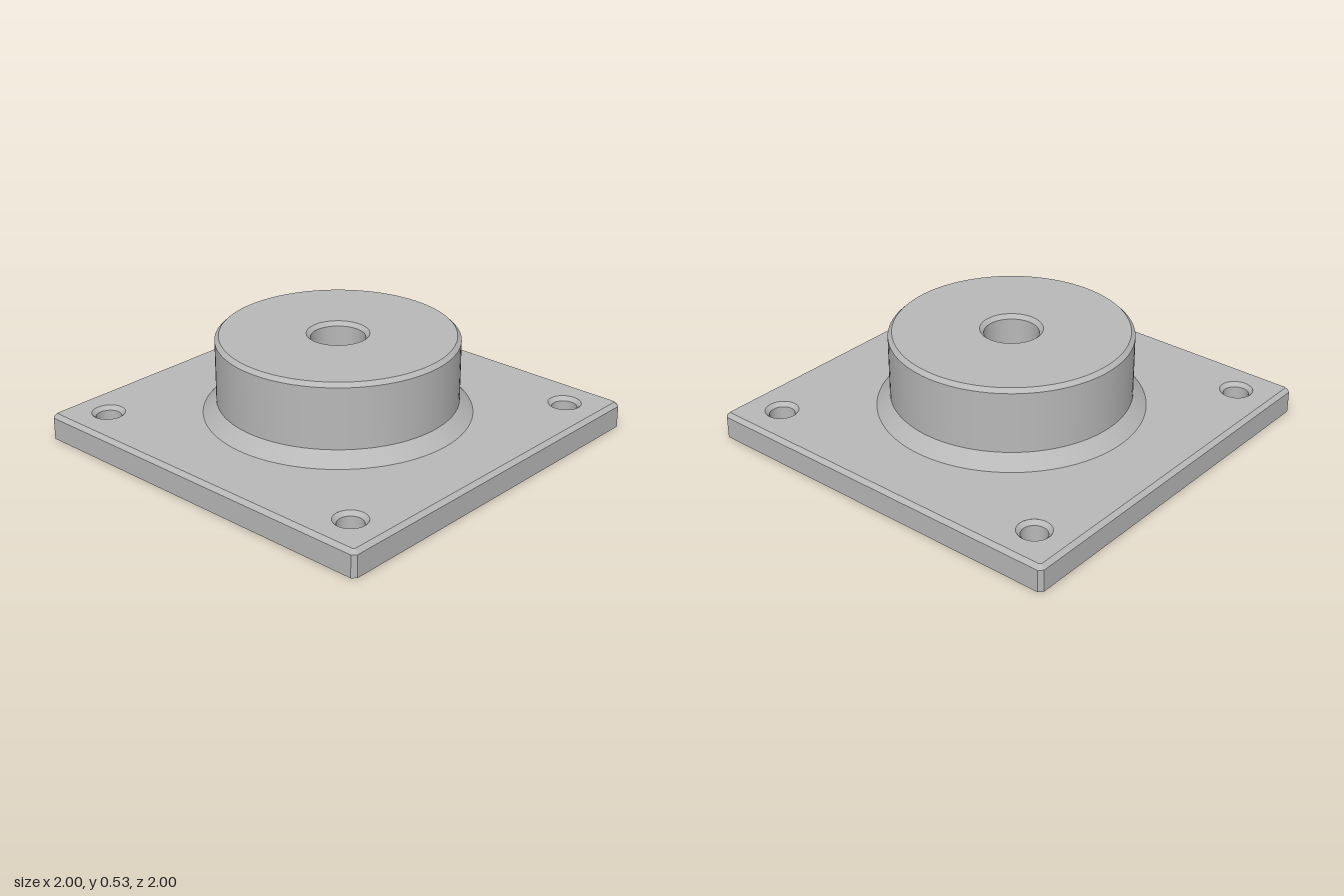
import * as THREE from 'three';
import { mergeGeometries } from 'three/addons/utils/BufferGeometryUtils.js';

const PLATE_TOP = 0.133, BEVEL = 0.02, HOLE_R = 0.063, HOLE_POS = 0.8, HUB_BASE_R = 0.667;

// Square outline with cut corners, counter-clockwise
function outline(half, cut) {
  const a = half, b = half - cut;
  return [[a, -b], [a, b], [b, a], [-b, a], [-a, b], [-a, -b], [-b, -a], [b, -a]]
    .map(([x, y]) => new THREE.Vector2(x, y));
}

const corners = [[1, 1], [-1, 1], [-1, -1], [1, -1]].map(([x, z]) => [x * HOLE_POS, z * HOLE_POS]);

// Flat face with round openings, each given as [x, y, radius]
function face(points, holes, y, up) {
  const shape = new THREE.Shape(points);
  for (const [hx, hy, r] of holes) {
    shape.holes.push(new THREE.Path().absarc(hx, hy, r, 0, Math.PI * 2, true));
  }
  return new THREE.ShapeGeometry(shape, 48).rotateX(up ? -Math.PI / 2 : Math.PI / 2).translate(0, y, 0);
}

// Flat-sided band joining two outlines at different heights
function band(low, y0, high, y1) {
  const pos = [];
  low.forEach((p, i) => {
    const j = (i + 1) % low.length;
    const a = [p.x, y0, -p.y], b = [low[j].x, y0, -low[j].y];
    const c = [high[j].x, y1, -high[j].y], d = [high[i].x, y1, -high[i].y];
    pos.push(...a, ...b, ...c, ...a, ...c, ...d);
  });
  const g = new THREE.BufferGeometry();
  g.setAttribute('position', new THREE.Float32BufferAttribute(pos, 3));
  g.computeVertexNormals();
  return g;
}

// Turned surface, smooth around and sharp between profile segments
function turned(profile, segments) {
  const parts = [];
  for (let i = 0; i < profile.length - 1; i++) {
    const pts = [profile[i], profile[i + 1]].map(([r, y]) => new THREE.Vector2(r, y));
    parts.push(new THREE.LatheGeometry(pts, segments));
  }
  return mergeGeometries(parts);
}

export function createModel() {
  const grey = new THREE.MeshStandardMaterial({ color: 0xb8b8b8 });
  grey.name = 'plain grey';
  const model = new THREE.Group();
  model.name = 'flangedMount';
  const add = (geometry, name, parent = model) => {
    const mesh = new THREE.Mesh(geometry, grey);
    mesh.name = name;
    parent.add(mesh);
    return mesh;
  };

  // Square plate with chamfered corners and top edge
  const plate = new THREE.Group();
  plate.name = 'basePlate';
  model.add(plate);
  const outer = outline(1, 0.02), inner = outline(1 - BEVEL, 0.0083);
  add(band(outer, 0, outer, PLATE_TOP - BEVEL), 'plateSides', plate);
  add(band(outer, PLATE_TOP - BEVEL, inner, PLATE_TOP), 'plateChamfer', plate);
  const topHoles = corners.map(([x, z]) => [x, z, HOLE_R + BEVEL]);
  add(face(inner, [...topHoles, [0, 0, HUB_BASE_R]], PLATE_TOP, true), 'plateTop', plate);
  add(face(outer, corners.map(([x, z]) => [x, z, HOLE_R]), 0, false), 'plateBottom', plate);

  // Countersunk through holes
  const bore = turned([[HOLE_R + BEVEL, PLATE_TOP], [HOLE_R, PLATE_TOP - BEVEL], [HOLE_R, 0]], 48);
  for (const [x, z] of corners) add(bore, 'boltHole', plate).position.set(x, 0, z);

  // Round hub with sloped foot and chamfered rim
  add(turned([[HUB_BASE_R, PLATE_TOP], [0.6, 0.2], [0.6, 0.513], [0.58, 0.533], [0.155, 0.533]], 96), 'hub');

  // Blind centre bore
  add(turned([[0.155, 0.533], [0.135, 0.513], [0.135, PLATE_TOP], [0, PLATE_TOP]], 96), 'centreBore');

  return model;
}
